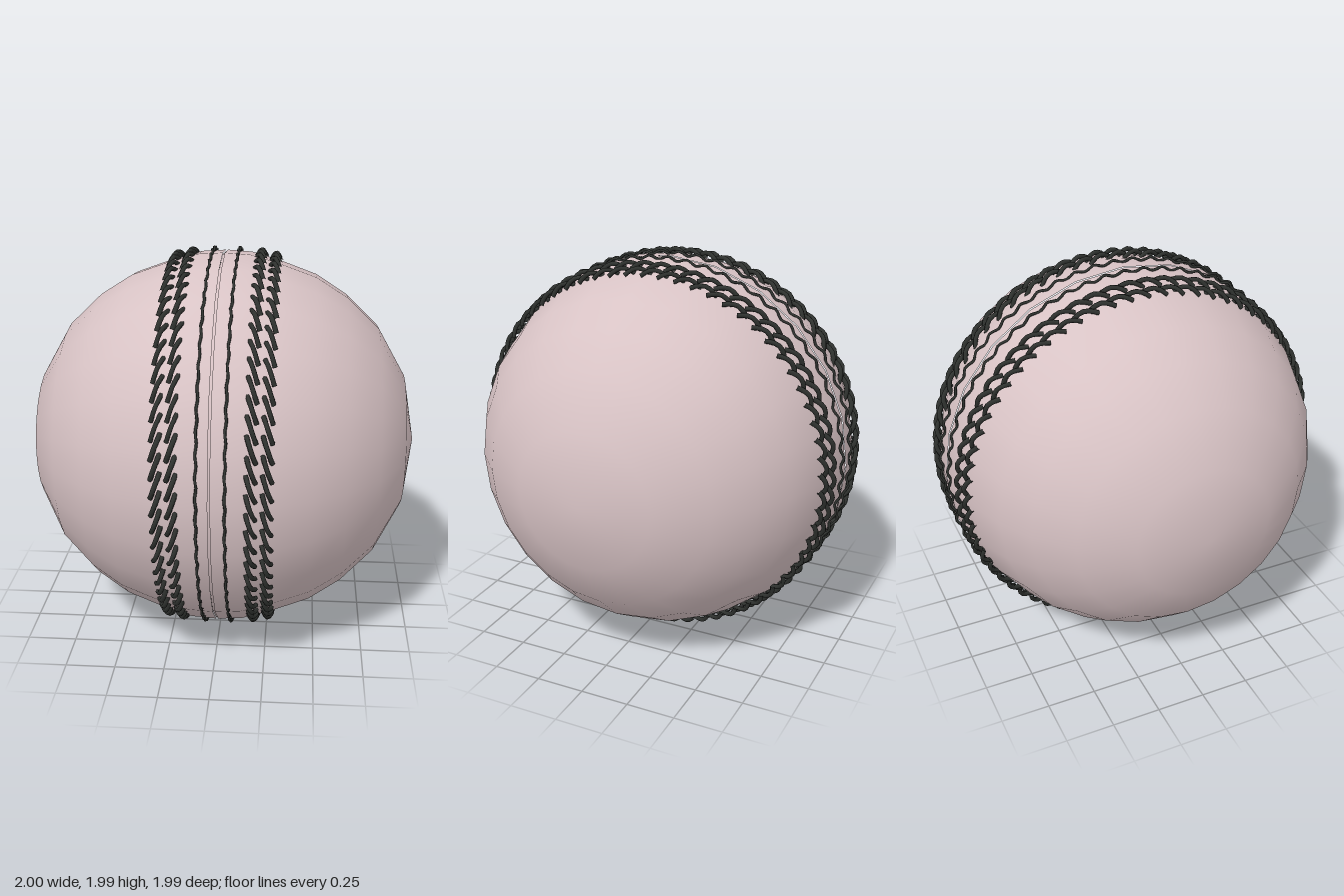
import * as THREE from 'three';
import { mergeGeometries } from 'three/addons/utils/BufferGeometryUtils.js';

const leather = new THREE.MeshStandardMaterial({ color: 0xd8c3c5 });
leather.name = 'pale pink leather';
const thread = new THREE.MeshStandardMaterial({ color: 0x2f322f });
thread.name = 'dark thread';

// Half-ball profile: [radius, distance from the seam plane]
const profile = [
  [0.976, 0.005], [0.968, 0.13], [0.93, 0.267], [0.856, 0.471],
  [0.754, 0.631], [0.594, 0.797], [0.348, 0.937], [0, 1],
];

function add(group, name, geometry, material) {
  const mesh = new THREE.Mesh(geometry, material);
  mesh.name = name;
  group.add(mesh);
}

// Point on a ring around the x axis; the angle runs from the front over the top
const ringPoint = (x, r, a) => new THREE.Vector3(x, r * Math.sin(a), r * Math.cos(a));

function halfBall(side) {
  const g = new THREE.LatheGeometry(profile.map(([r, y]) => new THREE.Vector2(r, y)), 24);
  g.rotateZ(-side * Math.PI / 2);
  // Round normals keep the coarse shell smooth
  const p = g.attributes.position, n = g.attributes.normal, v = new THREE.Vector3();
  for (let i = 0; i < p.count; i++) {
    v.fromBufferAttribute(p, i).normalize();
    n.setXYZ(i, v.x, v.y, v.z);
  }
  return g;
}

// Slanted, arched, overlapping stitches that form one rope-like row
function ropeRow(x, base, side) {
  const count = 66, step = Math.PI * 2 / count, stitches = [];
  for (let i = 0; i < count; i++) {
    const points = [];
    for (let k = 0; k <= 4; k++) {
      const t = k / 4 - 0.5;
      const lift = 0.03 * Math.cos(t * Math.PI) - 0.003;
      points.push(ringPoint(x - side * t * 0.045, base + lift, i * step + t * step * 1.4));
    }
    stitches.push(new THREE.TubeGeometry(new THREE.CatmullRomCurve3(points), 6, 0.012, 6));
  }
  return mergeGeometries(stitches);
}

// Fine running stitch that dips in and out of the leather
function runningRow(x) {
  const waves = 60, points = [];
  for (let i = 0; i < waves * 4; i++) {
    const a = i / (waves * 4) * Math.PI * 2;
    const s = Math.sin(a * waves);
    points.push(ringPoint(x + 0.003 * Math.cos(a * waves), 0.979 + 0.009 * s, a));
  }
  const curve = new THREE.CatmullRomCurve3(points, true);
  curve.arcLengthDivisions = 1000;
  return new THREE.TubeGeometry(curve, waves * 8, 0.007, 6, true);
}

export function createModel() {
  const ball = new THREE.Group();
  ball.name = 'stitchedBall';

  // Recessed strip at the bottom of the narrow seam
  const seam = new THREE.CylinderGeometry(0.968, 0.968, 0.012, 24, 1, true);
  seam.rotateZ(-Math.PI / 2);
  add(ball, 'centreSeam', seam, leather);

  for (const side of [1, -1]) {
    const label = side > 0 ? 'left' : 'right';
    const offset = 0.007;
    add(ball, label + 'Shell', halfBall(side), leather);
    add(ball, label + 'RunningStitch', runningRow(offset + side * 0.066), thread);
    add(ball, label + 'InnerRope', ropeRow(offset + side * 0.18, 0.95, side), thread);
    add(ball, label + 'OuterRope', ropeRow(offset + side * 0.255, 0.934, side), thread);
  }

  ball.position.y = 0.995;
  const root = new THREE.Group();
  root.name = 'ball';
  root.add(ball);
  return root;
}
